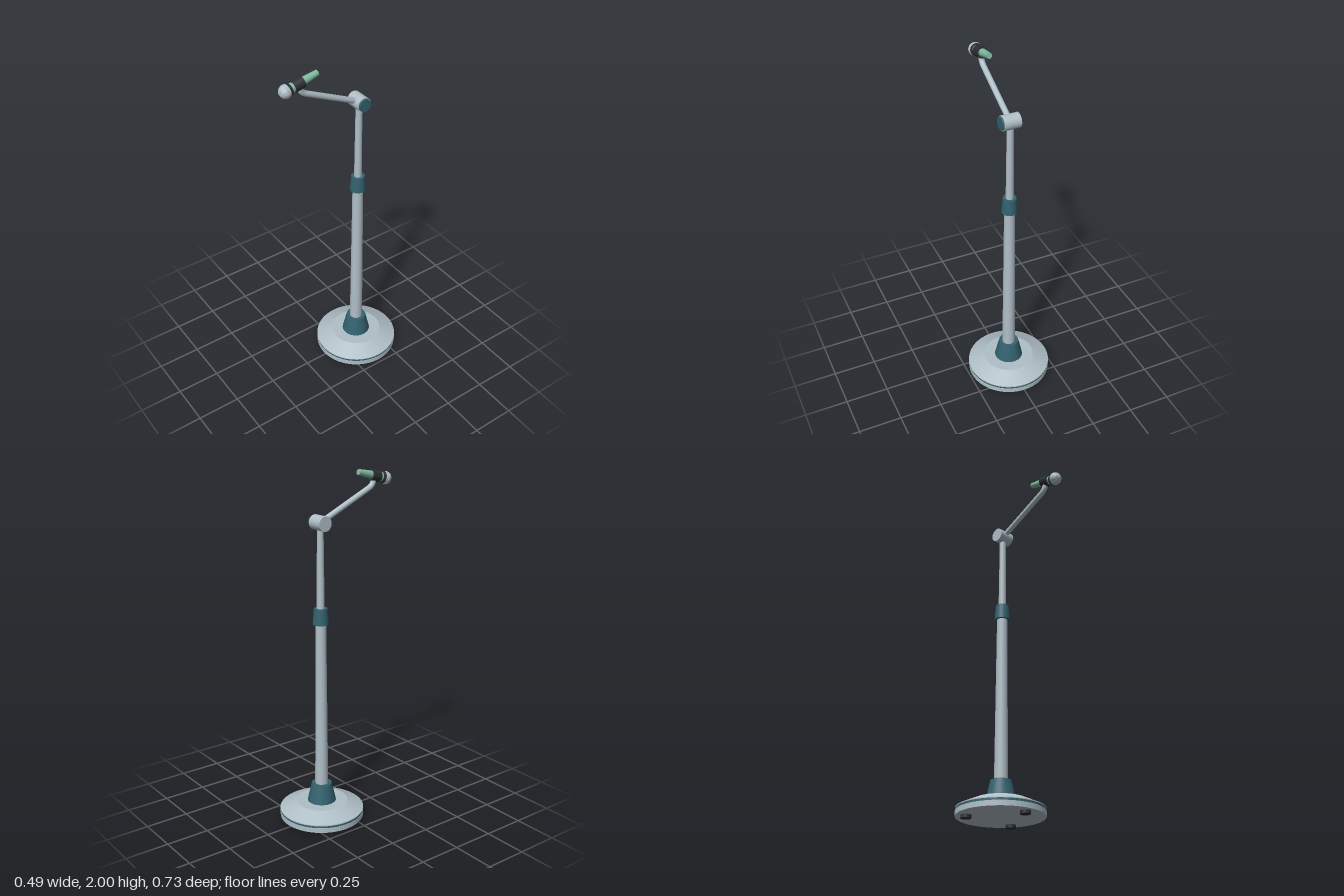
import * as THREE from 'three';

const paint = (name, color) => {
  const m = new THREE.MeshStandardMaterial({ color });
  m.name = name;
  return m;
};

export function createModel() {
  const grey = paint('pale grey metal', 0xb0bfc7);
  const teal = paint('dark teal', 0x33626f);
  const mint = paint('mint green', 0x7fb89d);
  const black = paint('charcoal rubber', 0x2c2e32);

  const model = new THREE.Group();
  model.name = 'microphoneStand';

  const add = (parent, name, geometry, material) => {
    const mesh = new THREE.Mesh(geometry, material);
    mesh.name = name;
    parent.add(mesh);
    return mesh;
  };
  // Upright tapered cylinder between two heights
  const upright = (parent, name, y0, y1, r0, r1, material, sides = 32) => {
    const mesh = add(parent, name, new THREE.CylinderGeometry(r1, r0, y1 - y0, sides), material);
    mesh.position.y = (y0 + y1) / 2;
    return mesh;
  };

  // Stand: base, pole and hinge share one vertical axis
  const stand = new THREE.Group();
  stand.name = 'stand';
  stand.position.z = -0.12;
  model.add(stand);

  upright(stand, 'baseRim', 0.018, 0.047, 0.243, 0.243, grey, 64);
  upright(stand, 'baseBand', 0.047, 0.059, 0.241, 0.241, teal, 64);
  upright(stand, 'baseLip', 0.059, 0.064, 0.243, 0.243, grey, 64);
  upright(stand, 'baseSlope', 0.064, 0.107, 0.243, 0.148, grey, 64);
  for (let i = 0; i < 3; i++) {
    const a = (i * Math.PI * 2) / 3;
    const foot = upright(stand, 'foot', 0, 0.02, 0.029, 0.029, black, 20);
    foot.position.x = Math.sin(a) * 0.187;
    foot.position.z = Math.cos(a) * 0.187;
  }

  upright(stand, 'baseCollar', 0.105, 0.216, 0.083, 0.058, teal);
  upright(stand, 'lowerPole', 0.21, 1.2, 0.038, 0.03, grey);
  upright(stand, 'heightClutch', 1.175, 1.265, 0.045, 0.038, teal);
  upright(stand, 'upperPole', 1.26, 1.72, 0.022, 0.018, grey);

  // Hinge barrel lying across the pole, with a knob on the left end
  const hinge = new THREE.Group();
  hinge.name = 'hinge';
  hinge.position.y = 1.735;
  hinge.rotation.z = -Math.PI / 2;
  stand.add(hinge);
  upright(hinge, 'hingeBarrel', -0.048, 0.047, 0.041, 0.041, grey);
  upright(hinge, 'hingeKnob', 0.047, 0.057, 0.036, 0.036, teal);

  // Bent boom arm
  const path = new THREE.CurvePath();
  const p = (y, z) => new THREE.Vector3(0, y, z);
  path.add(new THREE.LineCurve3(p(1.735, -0.12), p(1.891, 0.21)));
  path.add(new THREE.QuadraticBezierCurve3(p(1.891, 0.21), p(1.902, 0.233), p(1.92, 0.24)));
  path.add(new THREE.LineCurve3(p(1.92, 0.24), p(1.955, 0.25)));
  add(model, 'boomArm', new THREE.TubeGeometry(path, 60, 0.016, 16), grey);

  // Microphone: built along its own y axis, head at the origin
  const mic = new THREE.Group();
  mic.name = 'microphone';
  mic.position.set(0, 1.94, 0.326);
  mic.rotation.x = Math.PI / 2 + 0.232;
  model.add(mic);
  upright(mic, 'micHandle', -0.193, -0.02, 0.016, 0.028, mint);
  upright(mic, 'micClip', -0.103, -0.046, 0.032, 0.032, black);
  upright(mic, 'micCollar', -0.03, -0.016, 0.029, 0.034, black);
  add(mic, 'micHead', new THREE.SphereGeometry(0.036, 32, 20), grey);

  // Thin wires around the head
  const wire = new THREE.TorusGeometry(0.0358, 0.0012, 6, 40);
  add(mic, 'headHoop', wire, grey).rotation.x = Math.PI / 2;
  for (let i = 0; i < 3; i++) {
    add(mic, 'headWire', wire, grey).rotation.y = (i * Math.PI) / 3;
  }

  return model;
}
